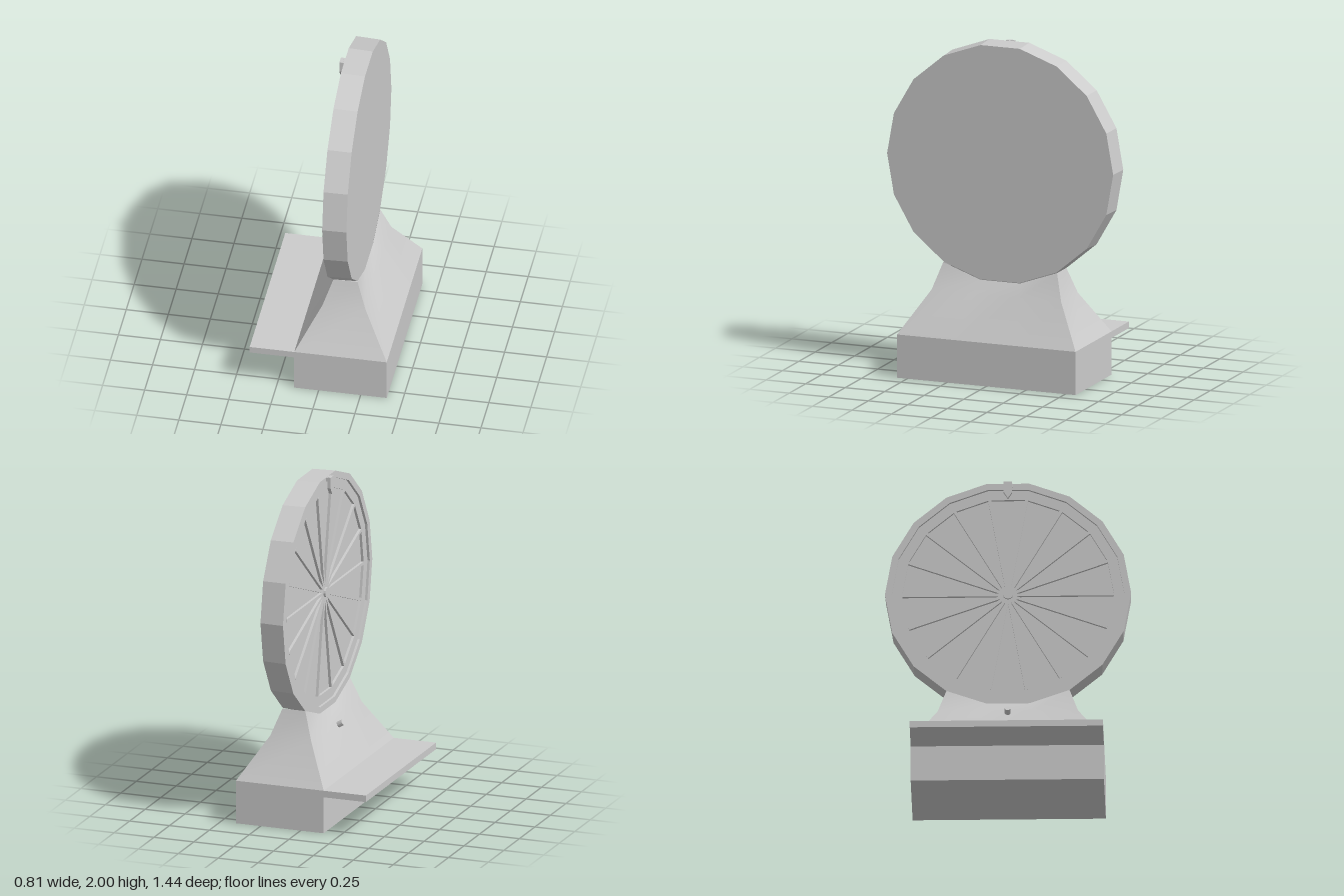
import * as THREE from 'three';
import { toCreasedNormals } from 'three/addons/utils/BufferGeometryUtils.js';

const SIDES = 18, RADIUS = 0.72, AXIS_Y = 1.29;

export function createModel() {
  const model = new THREE.Group();
  const flat = new THREE.MeshStandardMaterial({ color: 0xcccccc, flatShading: true });
  const smooth = new THREE.MeshStandardMaterial({ color: 0xcccccc, side: THREE.DoubleSide });

  const add = (name, geometry, x, y, z, parent = model, material = flat) => {
    const mesh = new THREE.Mesh(geometry, material);
    mesh.name = name;
    mesh.position.set(x, y, z);
    parent.add(mesh);
    return mesh;
  };
  const box = (name, x0, x1, y0, y1, depth, parent) =>
    add(name, new THREE.BoxGeometry(x1 - x0, y1 - y0, depth), (x0 + x1) / 2, (y0 + y1) / 2, 0, parent);

  // Plinth and the shelf on its playing side
  box('plinth', -0.145, 0.405, 0, 0.26, 1.13);
  box('shelf', -0.41, -0.145, 0.22, 0.26, 1.13);

  // Neck: rings narrowing upward, the top one following the underside of the wheel
  const columns = [-1, -0.347, 0.347, 1];
  const rows = [
    { x0: -0.145, x1: 0.405, z: 0.565, y: [0.26, 0.26] },
    { x0: -0.005, x1: 0.25, z: 0.41, y: [0.51, 0.51] },
    { x0: 0.05, x1: 0.193, z: 0.36, y: [0.667, 0.583] },
  ];
  const positions = [], index = [];
  for (const r of rows) {
    const height = t => (Math.abs(t) === 1 ? r.y[0] : r.y[1]);
    for (const t of columns) positions.push(r.x0, height(t), t * r.z);
    for (const t of [...columns].reverse()) positions.push(r.x1, height(t), t * r.z);
  }
  for (let r = 0; r < 2; r++) {
    for (let i = 0; i < 8; i++) {
      const a = r * 8 + i, b = r * 8 + (i + 1) % 8;
      index.push(a, b, b + 8, a, b + 8, a + 8);
    }
  }
  const neck = new THREE.BufferGeometry();
  neck.setAttribute('position', new THREE.Float32BufferAttribute(positions, 3));
  neck.setIndex(index);
  add('neck', toCreasedNormals(neck, 0.5), 0, 0, 0, model, smooth);

  // Wheel: closed disc with a stepped rim and recessed panel on the -x side
  const wheel = new THREE.Group();
  wheel.name = 'wheel';
  wheel.position.y = AXIS_Y;
  model.add(wheel);
  const profile = [
    [0, 0.08], [0.62, 0.08], [0.62, 0.065], [0.68, 0.065],
    [0.68, 0.05], [RADIUS, 0.05], [0.715, 0.193], [0, 0.193],
  ].map(([r, h]) => new THREE.Vector2(r, h));
  add('disc', new THREE.LatheGeometry(profile, SIDES).rotateZ(-Math.PI / 2), 0, 0, 0, wheel);

  // Dividers between the wedges, one to each corner of the rim
  for (let i = 0; i < SIDES; i++) {
    const spoke = new THREE.BoxGeometry(0.018, 0.018, 0.62).translate(0.073, 0, 0.31);
    add('divider', spoke.rotateX(i * 2 * Math.PI / SIDES), 0, 0, 0, wheel);
  }
  add('hub', new THREE.CylinderGeometry(0.03, 0.03, 0.03, 12).rotateZ(Math.PI / 2), 0.067, 0, 0, wheel);

  // Pointer hanging over the rim
  const pointer = new THREE.Group();
  pointer.name = 'pointer';
  model.add(pointer);
  const blade = new THREE.Shape([
    [-0.025, 2], [-0.025, 1.935], [0, 1.895], [0.025, 1.935], [0.025, 2],
  ].map(([z, y]) => new THREE.Vector2(z, y)));
  const bladeGeometry = new THREE.ExtrudeGeometry(blade, { depth: 0.02, bevelEnabled: false });
  add('pointerBlade', bladeGeometry.rotateY(Math.PI / 2), 0.022, 0, 0, pointer);
  box('pointerBracket', 0.03, 0.06, 1.975, 1.998, 0.05, pointer);

  // Push button set square to the sloping neck
  const button = add('button', new THREE.CylinderGeometry(0.018, 0.018, 0.045, 10), -0.027, 0.495, 0);
  button.rotation.z = Math.PI / 3;

  return model;
}
